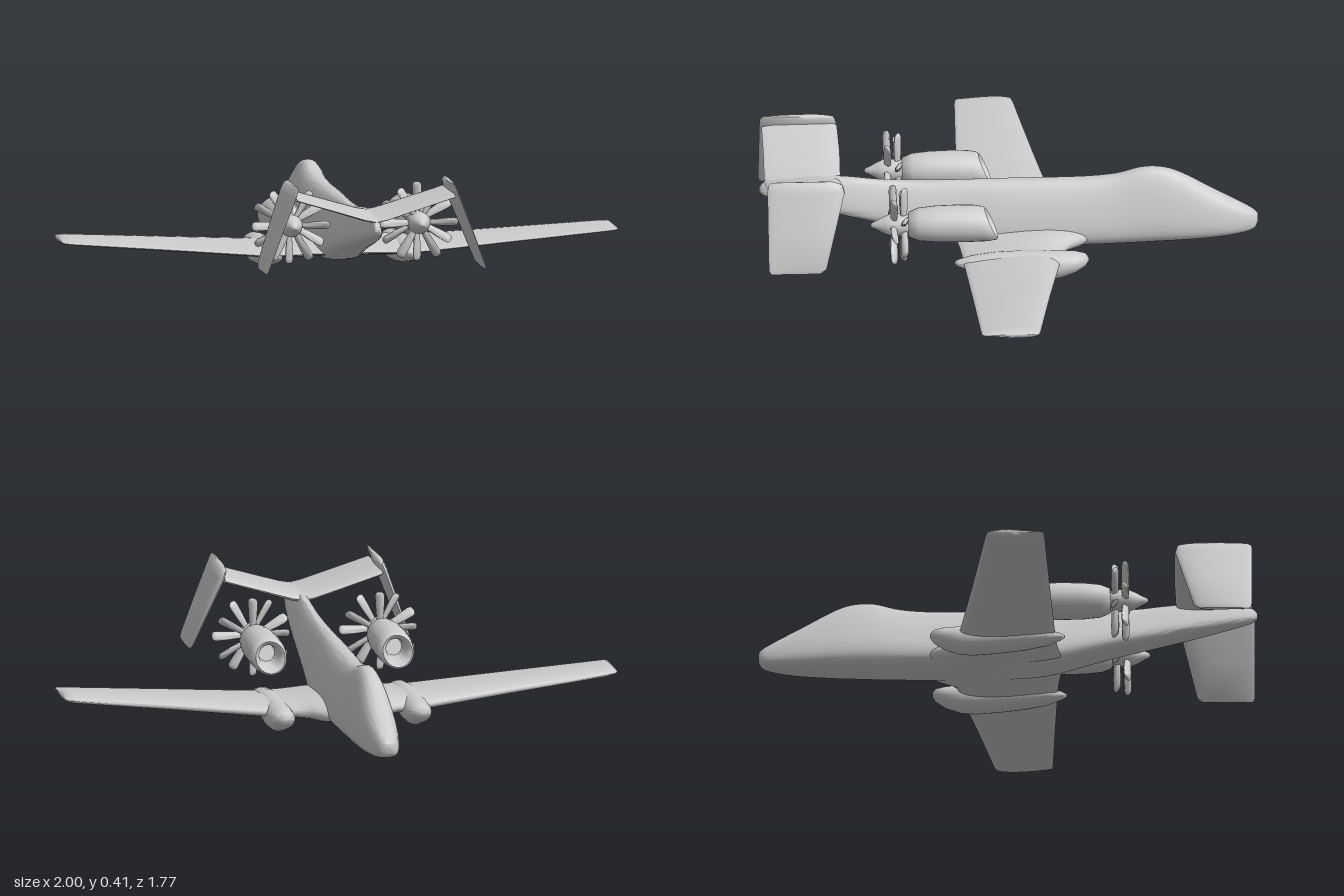
import * as THREE from 'three';
import { toCreasedNormals } from 'three/addons/utils/BufferGeometryUtils.js';

const material = new THREE.MeshStandardMaterial({ color: 0xcccccc, side: THREE.DoubleSide });
const V = (x, y, z) => new THREE.Vector3(x, y, z);

// Skin a list of equal-length rings, closing both ends.
function loft(rings, crease = 0.8) {
  const n = rings[0].length, pos = [], idx = [];
  rings.forEach(r => r.forEach(p => pos.push(p.x, p.y, p.z)));
  for (let i = 0; i < rings.length - 1; i++) {
    for (let j = 0; j < n; j++) {
      const a = i * n + j, b = i * n + (j + 1) % n;
      idx.push(a, b, a + n, b, b + n, a + n);
    }
  }
  [0, rings.length - 1].forEach((i, end) => {
    const c = rings[i].reduce((s, p) => s.add(p), V(0, 0, 0)).divideScalar(n);
    const k = pos.length / 3;
    pos.push(c.x, c.y, c.z);
    for (let j = 0; j < n; j++) {
      const a = i * n + j, b = i * n + (j + 1) % n;
      idx.push(...(end ? [a, b, k] : [b, a, k]));
    }
  });
  // Turn all faces outward, whichever way the rings run.
  const at = i => V(pos[3 * i], pos[3 * i + 1], pos[3 * i + 2]);
  let volume = 0;
  for (let i = 0; i < idx.length; i += 3) volume += at(idx[i]).dot(at(idx[i + 1]).cross(at(idx[i + 2])));
  if (volume < 0) idx.reverse();
  const g = new THREE.BufferGeometry();
  g.setAttribute('position', new THREE.Float32BufferAttribute(pos, 3));
  g.setIndex(idx);
  return toCreasedNormals(g, crease);
}

function ring(n, fn) {
  return Array.from({ length: n }, (_, j) => fn(j / n * Math.PI * 2));
}

// Streamlined section; (tx, ty) is the thickness direction.
function foil(x, y, z0, z1, t, tx = 0, ty = 1) {
  return ring(28, a => {
    const c = Math.cos(a), h = t / 2 * Math.sin(a) * (1 - 0.45 * c);
    return V(x + tx * h, y + ty * h, (z0 + z1) / 2 + (z1 - z0) / 2 * c);
  });
}

function add(parent, name, geometry) {
  const m = new THREE.Mesh(geometry, material);
  m.name = name;
  parent.add(m);
  return m;
}

// Stations: z, bottom, top, half width, width factor at the top.
function fuselage() {
  const stations = [
    [-0.885, 0.095, 0.12, 0.012, 0.9], [-0.87, 0.07, 0.135, 0.034, 0.8], [-0.82, 0.056, 0.165, 0.055, 0.7],
    [-0.73, 0.046, 0.215, 0.077, 0.6], [-0.61, 0.04, 0.285, 0.094, 0.45], [-0.54, 0.038, 0.308, 0.099, 0.4],
    [-0.47, 0.036, 0.308, 0.102, 0.4], [-0.38, 0.035, 0.285, 0.105, 0.42], [-0.25, 0.034, 0.275, 0.107, 0.42],
    [0, 0.035, 0.275, 0.105, 0.4], [0.15, 0.047, 0.275, 0.095, 0.36], [0.3, 0.088, 0.276, 0.083, 0.34],
    [0.45, 0.127, 0.283, 0.072, 0.3], [0.6, 0.162, 0.3, 0.06, 0.3], [0.75, 0.2, 0.3, 0.043, 0.4],
    [0.855, 0.228, 0.288, 0.022, 0.6], [0.885, 0.245, 0.265, 0.007, 0.9]
  ];
  const columns = [0, 1, 2, 3, 4].map(k => i => {
    const i0 = Math.min(Math.floor(i), stations.length - 2), t = i - i0;
    const s = q => stations[Math.min(Math.max(q, 0), stations.length - 1)][k];
    const p = [s(i0 - 1), s(i0), s(i0 + 1), s(i0 + 2)];
    return p[1] + 0.5 * t * (p[2] - p[0] + t * (2 * p[0] - 5 * p[1] + 4 * p[2] - p[3] + t * (3 * (p[1] - p[2]) + p[3] - p[0])));
  });
  const rings = [];
  for (let i = 0; i <= stations.length - 1; i += 0.25) {
    const [z, lo, hi, w, f] = columns.map(c => c(i));
    rings.push(ring(40, a => {
      const c = Math.cos(a), s = Math.sin(a);
      const v = (Math.sign(s) * Math.abs(s) ** 0.8 + 1) / 2;
      const x = Math.sign(c) * Math.abs(c) ** 0.6 * w * (1 + (f - 1) * Math.max(0, v - 0.12) / 0.88);
      return V(x, lo + (hi - lo) * v, z);
    }));
  }
  return loft(rings, 1.2);
}

function engine(s) {
  const g = new THREE.Group();
  g.position.set(s * 0.23, 0.213, 0);
  // Nacelle with a raked, hollow intake: z, radius, rake
  const profile = [[0.15, 0.03, 0.3], [0.1, 0.036, 0.4], [0.08, 0.045, 0.45], [0.072, 0.053, 0.45], [0.08, 0.06, 0.45],
    [0.11, 0.065, 0.4], [0.18, 0.067, 0.2], [0.27, 0.065, 0], [0.33, 0.059, 0], [0.365, 0.045, 0], [0.37, 0.03, 0]];
  add(g, 'nacelle', loft(profile.map(([z, r, k]) =>
    ring(28, a => V(r * Math.cos(a), r * Math.sin(a), z + k * r * Math.sin(a)))), 1.1));
  // Spinner on the rear of the nacelle
  const spin = [[0, 0.35], [0.034, 0.35], [0.04, 0.38], [0.04, 0.43], [0.03, 0.455], [0.016, 0.48], [0.009, 0.497], [0, 0.502]];
  const hub = new THREE.LatheGeometry(spin.map(p => new THREE.Vector2(...p)), 20);
  add(g, 'spinner', hub.rotateX(Math.PI / 2));
  // Two contra-rotating rows of broad, twisted blades
  const row = [[0.02, 0.013, 0.008], [0.05, 0.014, 0.009], [0.09, 0.018, 0.009], [0.125, 0.019, 0.008], [0.137, 0.015, 0.006], [0.141, 0.006, 0.002]];
  [0.383, 0.42].forEach((z, k) => {
    const dir = k ? -1 : 1;
    const blade = loft(row.map(([r, w, t], i) => {
      const twist = dir * (0.95 - 0.1 * i);
      return ring(12, a => {
        const u = w * Math.cos(a), v = t * Math.sin(a);
        return V(u * Math.cos(twist) - v * Math.sin(twist), r, u * Math.sin(twist) + v * Math.cos(twist));
      });
    }), 1);
    const prop = new THREE.Group();
    prop.name = k ? 'rearPropeller' : 'frontPropeller';
    prop.position.z = z;
    for (let i = 0; i < 6; i++) add(prop, 'blade', blade).rotation.z = (i + k / 2) * Math.PI / 3;
    g.add(prop);
  });
  return g;
}

export function createModel() {
  const model = new THREE.Group();
  model.name = 'aircraft';
  add(model, 'fuselage', fuselage());

  for (const s of [1, -1]) {
    const side = s > 0 ? 'left' : 'right';

    // Wing with a flared root and rounded tip
    add(model, side + 'Wing', loft([
      foil(0, 0.075, -0.32, 0.2, 0.075), foil(s * 0.1, 0.075, -0.27, 0.185, 0.072),
      foil(s * 0.135, 0.073, -0.215, 0.18, 0.066), foil(s * 0.18, 0.071, -0.185, 0.176, 0.06),
      foil(s * 0.3, 0.072, -0.165, 0.17, 0.05), foil(s * 0.6, 0.096, -0.118, 0.158, 0.04),
      foil(s * 0.96, 0.124, -0.066, 0.145, 0.03), foil(s * 0.99, 0.127, -0.06, 0.142, 0.024),
      foil(s, 0.128, -0.05, 0.13, 0.008)
    ], 1));

    // Landing gear pod blended under the wing: z, centre y, half width, half height
    const pod = [[-0.272, 0.072, 0.008, 0.007], [-0.26, 0.07, 0.03, 0.022], [-0.225, 0.062, 0.044, 0.038], [-0.17, 0.054, 0.05, 0.05],
      [-0.12, 0.052, 0.052, 0.052], [-0.04, 0.056, 0.052, 0.05], [0.06, 0.06, 0.048, 0.042],
      [0.14, 0.063, 0.038, 0.028], [0.19, 0.066, 0.02, 0.012], [0.205, 0.067, 0.005, 0.004]];
    add(model, side + 'GearPod', loft(pod.map(([z, y, w, h]) =>
      ring(24, a => V(s * 0.247 + w * Math.cos(a), y + h * Math.sin(a), z))), 1.2));

    const e = engine(s);
    e.name = side + 'Engine';
    model.add(e);

    // Raised tailplane half
    add(model, side + 'Tailplane', loft([
      foil(0, 0.283, 0.6, 0.866, 0.036), foil(s * 0.04, 0.291, 0.595, 0.866, 0.032),
      foil(s * 0.15, 0.325, 0.592, 0.863, 0.028), foil(s * 0.285, 0.366, 0.595, 0.863, 0.026)
    ], 1));

    // Tail fin hanging outward from the tailplane tip
    const nx = s * 0.94, ny = 0.34;
    add(model, side + 'TailFin', loft([
      foil(s * 0.28, 0.41, 0.64, 0.855, 0.012, nx, ny), foil(s * 0.284, 0.4, 0.605, 0.868, 0.026, nx, ny),
      foil(s * 0.295, 0.37, 0.597, 0.87, 0.03, nx, ny), foil(s * 0.345, 0.24, 0.632, 0.87, 0.026, nx, ny),
      foil(s * 0.39, 0.118, 0.665, 0.87, 0.022, nx, ny), foil(s * 0.395, 0.104, 0.685, 0.862, 0.01, nx, ny)
    ], 1));
  }
  return model;
}
